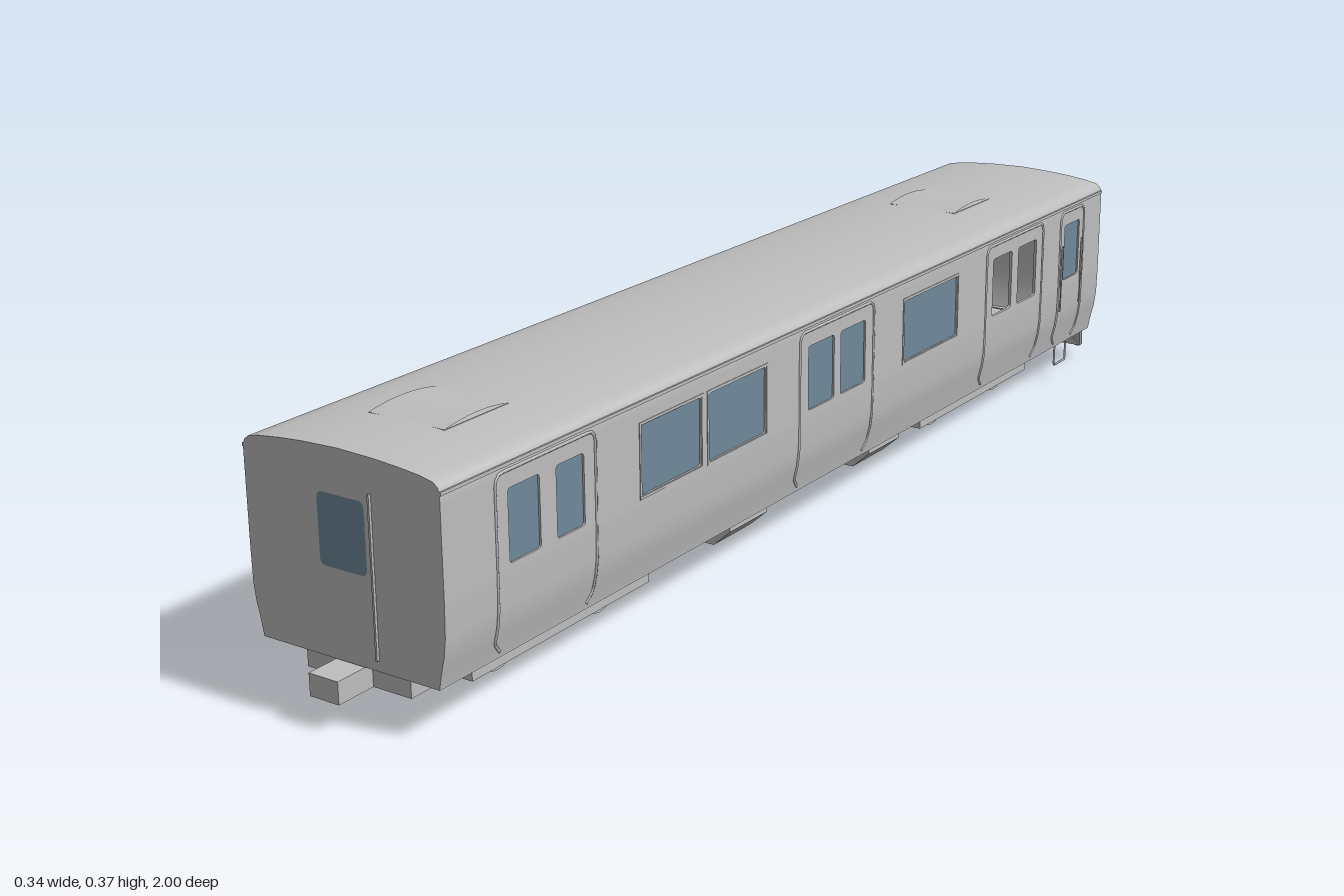
import * as THREE from 'three';

const body = new THREE.MeshStandardMaterial({ color: 0xbebebe, side: THREE.DoubleSide });
body.name = 'bodyGrey';
const glass = new THREE.MeshStandardMaterial({ color: 0x708a9c, side: THREE.DoubleSide });
glass.name = 'windowBlue';

// Half cross-section of the car, from sill to roof centre
const SKIRT = [[0.152, 0.073], [0.156, 0.095], [0.162, 0.12], [0.165, 0.145], [0.166, 0.19]];
const ROOF = [[0.166, 0.325], [0.166, 0.338], [0.163, 0.347], [0.155, 0.353], [0.135, 0.357], [0.1, 0.361], [0.06, 0.364], [0, 0.366]];
const PROFILE = [...SKIRT, ...ROOF];
const REAR = -0.94, FRONT = 0.95;

function interp(table, t) {
  for (let i = 1; i < table.length; i++) {
    const [a, ta] = table[i - 1], [b, tb] = table[i];
    if (t <= tb) return a + (b - a) * Math.max(0, (t - ta) / (tb - ta));
  }
  return table[table.length - 1][0];
}
const widthAt = (y) => interp(PROFILE, y);

// Bowed, raked cab face
const NOSE = [[0.006, 0.073], [0.018, 0.1], [0.028, 0.14], [0.03, 0.2], [0.024, 0.25], [0.018, 0.3], [0.011, 0.34], [0, 0.366]];
function noseZ(x, y) {
  const u = Math.min(1, Math.abs(x) / Math.max(widthAt(y), 0.001));
  return REAR - interp(NOSE, y) * (1 - u ** 4);
}

export function createModel() {
  const root = new THREE.Group();

  const add = (name, geo, mat = body, x = 0, y = 0, z = 0) => {
    const mesh = new THREE.Mesh(geo, mat);
    mesh.name = name;
    mesh.position.set(x, y, z);
    root.add(mesh);
    return mesh;
  };
  const box = (name, x0, x1, y0, y1, z0, z1) =>
    add(name, new THREE.BoxGeometry(x1 - x0, y1 - y0, z1 - z0), body, (x0 + x1) / 2, (y0 + y1) / 2, (z0 + z1) / 2);
  const tube = (name, pts, r, segments = 12) => {
    const curve = new THREE.CatmullRomCurve3(pts.map((p) => new THREE.Vector3(...p)), false, 'catmullrom', 0.05);
    return add(name, new THREE.TubeGeometry(curve, segments, r, 6), body);
  };
  // Surface through a grid of points
  const grid = (nu, nv, fn) => {
    const pos = [], index = [];
    for (let i = 0; i <= nu; i++) for (let j = 0; j <= nv; j++) {
      pos.push(...fn(i, j));
      if (i < nu && j < nv) {
        const a = i * (nv + 1) + j, b = a + nv + 1;
        index.push(a, b, a + 1, b, b + 1, a + 1);
      }
    }
    const g = new THREE.BufferGeometry();
    g.setAttribute('position', new THREE.Float32BufferAttribute(pos, 3));
    g.setIndex(index);
    g.computeVertexNormals();
    return g;
  };
  const sweep = (name, pts) =>
    add(name, grid(pts.length - 1, 1, (i, j) => [pts[i][0], pts[i][1], j ? FRONT : REAR]));
  const roundRect = (x0, x1, y0, y1, r, S = THREE.Shape) => {
    const s = new S();
    s.moveTo(x0 + r, y0);
    s.lineTo(x1 - r, y0); s.quadraticCurveTo(x1, y0, x1, y0 + r);
    s.lineTo(x1, y1 - r); s.quadraticCurveTo(x1, y1, x1 - r, y1);
    s.lineTo(x0 + r, y1); s.quadraticCurveTo(x0, y1, x0, y1 - r);
    s.lineTo(x0, y0 + r); s.quadraticCurveTo(x0, y0, x0 + r, y0);
    return s;
  };
  const mirror = (pts) => pts.map(([x, y]) => [-x, y]).reverse();

  // Roof, skirts, floor and flat end wall
  sweep('roof', [...ROOF, ...mirror(ROOF).slice(1)]);
  sweep('leftSkirt', SKIRT);
  sweep('rightSkirt', mirror(SKIRT));
  box('floor', -0.152, 0.152, 0.071, 0.075, REAR, FRONT);
  const outline = [...PROFILE, ...mirror(PROFILE).slice(1)].map(([x, y]) => new THREE.Vector2(x, y));
  add('endWall', new THREE.ShapeGeometry(new THREE.Shape(outline)), body, 0, 0, FRONT);
  add('endWindow', new THREE.ShapeGeometry(roundRect(-0.04, 0.04, 0.2, 0.302, 0.01)), glass, 0, 0, FRONT + 0.001);
  box('endHandrail', 0.049, 0.052, 0.087, 0.315, FRONT, FRONT + 0.004);

  // Side walls with window openings, as z ranges
  const windows = [[0.755, 0.82], [0.66, 0.72], [0.385, 0.53], [0.215, 0.365], [0.02, 0.095], [-0.075, 0],
    [-0.38, -0.2], [-0.58, -0.51], [-0.675, -0.605], [-0.85, -0.79]];
  const doors = [[0.635, 0.845], [-0.1, 0.12], [-0.7, -0.485], [-0.868, -0.772]];
  for (const s of [1, -1]) {
    const side = s > 0 ? 'left' : 'right';
    const span = (z0, z1) => (s > 0 ? [-z1, -z0] : [z0, z1]);
    const unglazed = s > 0 ? [7, 8] : [4, 5];
    const [a, b] = span(REAR, FRONT);
    const wall = new THREE.Shape([[a, 0.19], [b, 0.19], [b, 0.325], [a, 0.325]].map((p) => new THREE.Vector2(...p)));
    windows.forEach((w, i) => {
      const r = span(...w);
      wall.holes.push(roundRect(...r, 0.202, 0.305, 0.006, THREE.Path));
      if (unglazed.includes(i)) return;
      const pane = new THREE.ShapeGeometry(roundRect(r[0] - 0.002, r[1] + 0.002, 0.2, 0.307, 0.006));
      add(side + 'Window', pane.rotateY(s * Math.PI / 2), glass, s * 0.163);
    });
    const wallGeo = new THREE.ExtrudeGeometry(wall, { depth: 0.005, bevelEnabled: false, curveSegments: 4 });
    add(side + 'Wall', wallGeo.rotateY(s * Math.PI / 2), body, s * 0.161);

    // Raised surrounds of the doors and windows
    for (const [z0, z1] of doors) {
      const at = (z, y) => [s * widthAt(y), y, z];
      tube(side + 'DoorFrame', [at(z0 + 0.012, 0.08), at(z0, 0.095), at(z0, 0.12), at(z0, 0.145), at(z0, 0.318), at(z0 + 0.01, 0.33),
        at(z1 - 0.01, 0.33), at(z1, 0.318), at(z1, 0.145), at(z1, 0.12), at(z1, 0.095), at(z1 - 0.012, 0.08)], 0.0025, 80);
    }
    for (const i of [2, 3, 6]) {
      const [z0, z1] = windows[i];
      for (const y of [0.199, 0.308]) box(side + 'WindowTrim', s * 0.166 - 0.001, s * 0.166 + 0.001, y - 0.002, y + 0.002, z0 - 0.005, z1 + 0.005);
      for (const z of [z0 - 0.003, z1 + 0.003]) box(side + 'WindowTrim', s * 0.166 - 0.001, s * 0.166 + 0.001, 0.199, 0.308, z - 0.002, z + 0.002);
    }
    box(side + 'Gutter', s * 0.166 - 0.0015, s * 0.166 + 0.0015, 0.336, 0.341, REAR, FRONT);

    // Cab door handrails and hanging footstep
    for (const z of [-0.78, -0.86]) tube(side + 'CabHandrail', [[s * 0.167, 0.145, z], [s * 0.168, 0.268, z]], 0.002, 2);
    tube(side + 'Footstep', [[s * 0.15, 0.076, -0.8], [s * 0.15, 0.034, -0.8], [s * 0.15, 0.034, -0.845], [s * 0.15, 0.076, -0.845]], 0.002, 30);

    // Equipment cases with sloping outer faces
    const caseShape = new THREE.Shape([[0.08, 0.025], [0.105, 0.025], [0.135, 0.052], [0.135, 0.073], [0.08, 0.073]]
      .map(([x, y]) => new THREE.Vector2(s * x, y)));
    for (const z of [0.165, -0.245])
      add(side + 'EquipmentCase', new THREE.ExtrudeGeometry(caseShape, { depth: 0.1, bevelEnabled: false }), body, 0, 0, z);

    // Wheels
    for (const z of [0.745, 0.515, -0.465, -0.7])
      add(side + 'Wheel', new THREE.CylinderGeometry(0.045, 0.045, 0.013, 28).rotateZ(Math.PI / 2), body, s * 0.07, 0.045, z);

    // Lamps and wiper on the cab face
    for (const x of [0.1, 0.13]) {
      const lamp = add(side + 'Lamp', new THREE.SphereGeometry(0.01, 14, 10), body, s * x, 0.198, noseZ(x, 0.198));
      lamp.scale.set(1.1, 0.7, 0.5);
    }
    tube(side + 'Wiper', [[0.07, 0.2], [0.05, 0.235], [0.03, 0.27]].map(([x, y]) => [s * x, y, noseZ(x, y) - 0.005]), 0.0018);
  }

  // Cab face, windscreen and visor
  const noseRows = 20;
  add('cabFace', grid(noseRows, 28, (i, j) => {
    const y = i < 14 ? 0.073 + 0.267 * i / 14 : 0.34 + 0.026 * (i - 14) / 6;
    const x = widthAt(y) * (j / 14 - 1);
    return [x, y, noseZ(x, y)];
  }));
  add('windscreen', grid(10, 28, (i, j) => {
    const u = j / 14 - 1, low = 0.212 + 0.018 * u * u + 0.008 * u ** 12, high = 0.336 - 0.008 * u ** 12;
    const x = 0.153 * u, y = low + (high - low) * i / 10;
    return [x, y, noseZ(x, y) - 0.002];
  }), glass);
  const visor = Array.from({ length: 13 }, (_, i) => {
    const x = 0.15 * (i / 6 - 1), y = 0.342 - 0.006 * Math.abs(i / 6 - 1) ** 4;
    return [x, y, noseZ(x, y) - 0.006];
  });
  tube('visor', visor, 0.005, 30);

  // Sloping front guard with an opening
  const guard = new THREE.Shape([[-0.15, 0], [-0.09, 0], [0.09, 0], [0.15, 0], [0.125, -0.055], [0.115, -0.06], [0.09, -0.06],
    [-0.09, -0.06], [-0.115, -0.06], [-0.125, -0.055]].map((p) => new THREE.Vector2(...p)));
  guard.holes.push(new THREE.Path([[-0.095, -0.008], [0.095, -0.008], [0.073, -0.036], [-0.073, -0.036]].map((p) => new THREE.Vector2(...p))));
  const guardGeo = new THREE.ExtrudeGeometry(guard, { depth: 0.012, bevelEnabled: false });
  const p = guardGeo.attributes.position;
  for (let i = 0; i < p.count; i++) {
    const t = -p.getY(i) / 0.06, bow = 0.55 * Math.max(0, Math.abs(p.getX(i)) - 0.09);
    p.setXYZ(i, p.getX(i), 0.08 + p.getY(i), -0.95 - 0.05 * t ** 1.2 + p.getZ(i) + bow);
  }
  guardGeo.computeVertexNormals();
  add('frontGuard', guardGeo);

  // Roof units with gently arched tops
  for (const z of [0.755, -0.615]) {
    add('roofUnit', grid(8, 1, (i, j) => {
      const t = i / 4 - 1;
      return [j ? 0.065 : -0.065, 0.3705 - 0.006 * t * t, z + 0.065 * t];
    }));
    box('roofUnitBase', -0.065, 0.065, 0.355, 0.3645, z - 0.065, z + 0.065);
  }

  // Underframe, bogies and coupler
  box('underframe', -0.09, 0.09, 0.037, 0.073, -0.915, 0.935);
  for (const z of [0.63, -0.575]) box('bogie', -0.103, 0.103, 0.023, 0.061, z - 0.2, z + 0.2);
  box('coupler', -0.025, 0.025, 0.037, 0.07, 0.93, 1);

  return root;
}
